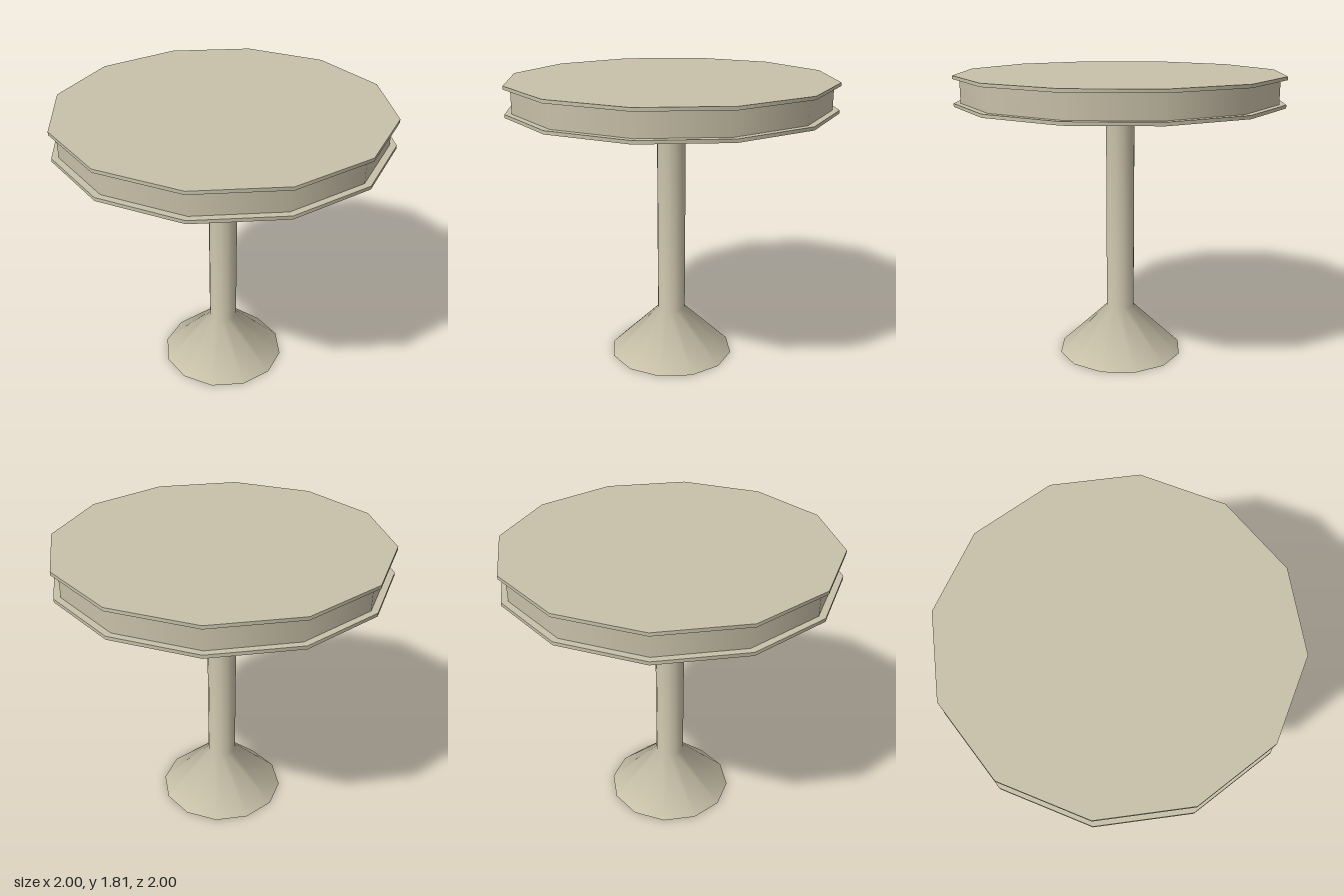
import * as THREE from 'three';

const SIDES = 12;

export function createModel() {
  const model = new THREE.Group();
  model.name = 'pedestalTable';
  const material = new THREE.MeshStandardMaterial({ color: 0xc8c0a8 });

  const add = (name, geometry, y = 0) => {
    const mesh = new THREE.Mesh(geometry, material);
    mesh.name = name;
    mesh.position.y = y;
    model.add(mesh);
    return mesh;
  };
  // Twelve-sided disc spanning two heights
  const disc = (name, radius, bottom, top, open = false) =>
    add(name, new THREE.CylinderGeometry(radius, radius, top - bottom, SIDES, 1, open), (bottom + top) / 2);

  // Flared foot running into the column, smoothly shaded
  const profile = [[0.4, 0], [0.09, 0.3], [0.09, 1.626]].map(([r, y]) => new THREE.Vector2(r, y));
  add('pedestal', new THREE.LatheGeometry(profile, SIDES));

  // Underside of the foot
  add('footUnderside', new THREE.CircleGeometry(0.4, SIDES).rotateX(Math.PI / 2));

  // Table top: two thin plates with a recessed band between them
  disc('lowerPlate', 1, 1.626, 1.646);
  disc('recessedBand', 0.96, 1.646, 1.787, true);
  disc('upperPlate', 1, 1.787, 1.807);

  return model;
}
